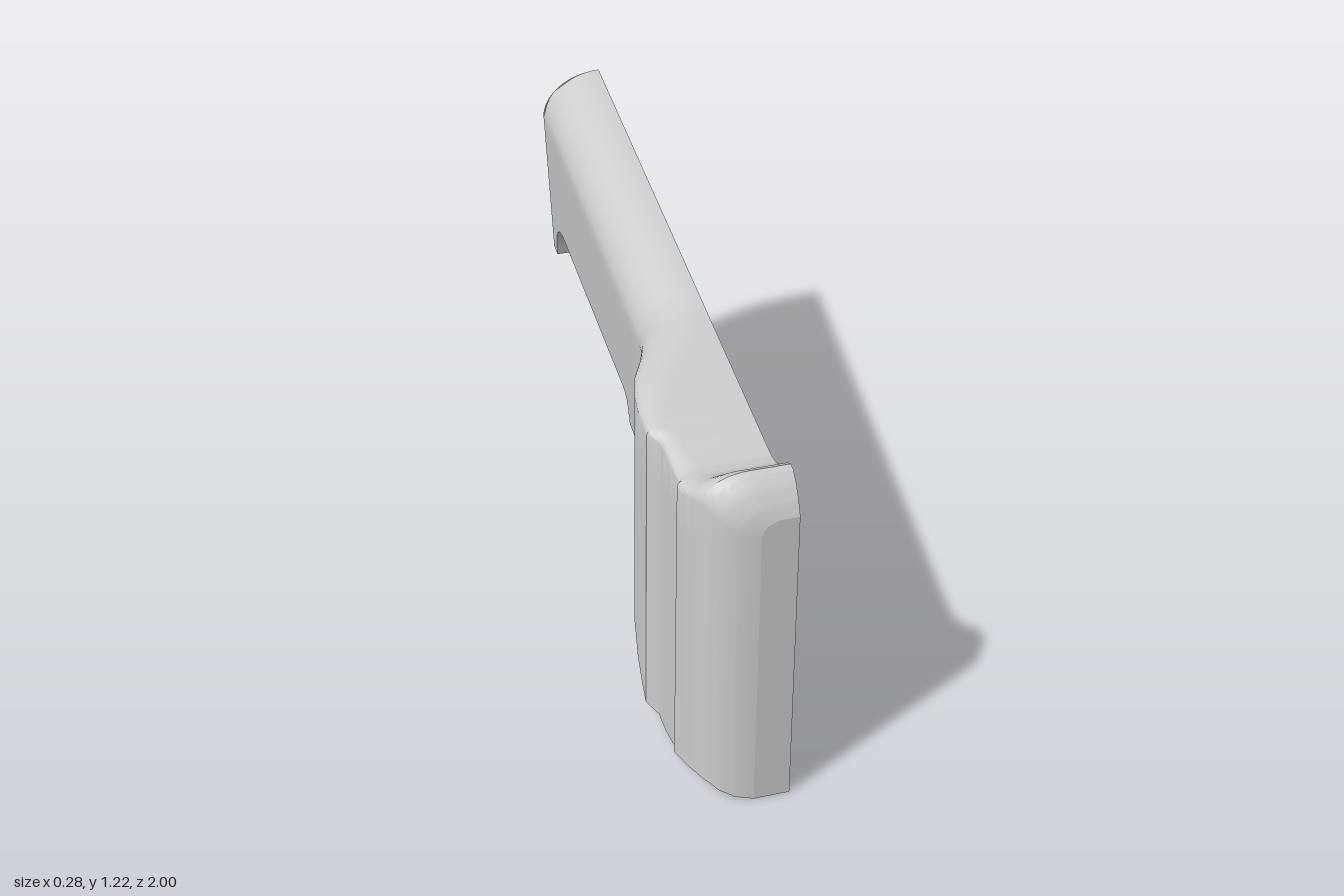
import * as THREE from 'three';
import { toCreasedNormals } from 'three/addons/utils/BufferGeometryUtils.js';

const CUT = 0.14;      // x of the flat split plane
const SLOPE = 0.168;   // rise of the barrel line towards the rear
const CEIL = 0.87, POCKET_X = 0.06, POCKET_Y = 0.645, POCKET_END = -0.08;

// Lower edge, front to rear: [z, y]
const bottom = [[1, 0], [0.985, 0.015], [0.95, 0.042], [0.91, 0.05], [0.85, 0.046], [0.77, 0.03], [0.7, 0.024],
  [0.65, 0.032], [0.6, 0.055], [0.55, 0.09], [0.5, 0.138], [0.45, 0.184], [0.41, 0.213], [0.363, 0.235],
  [0.363, 0.33], [0.355, 0.362], [0.338, 0.385], [0.31, 0.4], [-0.125, 0.475],
  [-0.125, 0.535], [-0.132, 0.558], [-0.145, 0.573], [-0.165, 0.582], [-0.8, 0.692], [-0.84, 0.698], [-0.88, 0.69],
  [-0.915, 0.667], [-0.94, 0.632], [-0.95, 0.6], [-0.96, 0.562], [-1, 0.568]];
// Top edge: [z, y]
const top = [[1, 0.914], [0.985, 0.95], [0.96, 0.99], [0.935, 1.014], [0.915, 1.018], [0.89, 1.005], [0.85, 0.97],
  [0.81, 0.95], [0.77, 0.944], [0.74, 0.948], [-0.89, 1.222], [-1, 1.2405]];
// Side wall: [z, x, corner width, corner height]
const side = [[1, 0.04, 0.06, 0.05], [0.99, -0.01, 0.08, 0.06], [0.97, -0.05, 0.1, 0.07], [0.94, -0.08, 0.12, 0.08],
  [0.9, -0.1, 0.12, 0.08], [0.85, -0.114, 0.09, 0.05], [0.8, -0.122, 0.06, 0.03], [0.785, -0.112, 0.06, 0.03],
  [0.64, -0.117, 0.05, 0.025], [0.6, -0.144, 0.04, 0.025], [0.5, -0.138, 0.08, 0.035], [0.42, -0.125, 0.12, 0.045],
  [0.35, -0.105, 0.15, 0.06], [0.265, -0.065, 0.16, 0.085], [0.18, -0.036, 0.165, 0.12], [0.12, -0.025, 0.165, 0.145],
  [-1, -0.025, 0.165, 0.145]];
// Grip cavity in plan: [z, x]
const cavity = [[0.97, CUT], [0.92, -0.06], [0.85, -0.08], [0.75, -0.09], [0.65, -0.09], [0.55, -0.083],
  [0.45, -0.06], [0.38, -0.025], [0.34, 0.02], [0.32, POCKET_X], [0.305, 0.1], [0.295, CUT]];

// Linear lookup in a table sorted by falling z
function look(table, z, col = 1) {
  for (let i = 1; i < table.length; i++) {
    const a = table[i - 1], b = table[i];
    if (z >= b[0] && a[0] > b[0]) {
      return a[col] + (b[col] - a[col]) * Math.min(1, Math.max(0, (a[0] - z) / (a[0] - b[0])));
    }
  }
  return table[table.length - 1][col];
}

// Stations along the body, following the lower edge
function makeStations() {
  const breaks = [...top, ...side, ...cavity].map((p) => p[0]);
  breaks.push(POCKET_END, POCKET_END - 0.0001, 0.375);
  for (let z = 1; z > -1; z -= 0.02) breaks.push(z);
  breaks.sort((a, b) => b - a);
  const out = [bottom[0]];
  for (let i = 1; i < bottom.length; i++) {
    const a = bottom[i - 1], b = bottom[i];
    for (const z of breaks) {
      if (z < a[0] - 1e-6 && z > b[0] + 1e-6) out.push([z, a[1] + (b[1] - a[1]) * (a[0] - z) / (a[0] - b[0])]);
    }
    out.push(b);
  }
  return out;
}

// Outer skin x at a point of the side elevation
function outerX(z, y) {
  const x = look(side, z, 1), rx = look(side, z, 2), ry = look(side, z, 3);
  const shoulder = look(top, z) - ry;
  if (y > shoulder) {
    const u = Math.min(1, (y - shoulder) / ry);
    return x + rx * (1 - Math.sqrt(1 - u * u));
  }
  const taper = 0.09 * THREE.MathUtils.smoothstep(-z, -0.36, 0);
  return x + taper * (shoulder - y);
}

const endZ = (y) => -0.89 + SLOPE * (y - 1.222);          // slanted rear face
const endY = (z) => (z >= -0.89 ? 9 : 1.222 + (z + 0.89) / SLOPE);
const grooveY = (z) => 0.863 + SLOPE * (0.295 - z);       // groove centre line
const GH = 0.093, GD = CUT - POCKET_X;                    // groove half height, depth
const grooveEnd = (h) => (-0.89 + SLOPE * (grooveY(0) + h - 1.222)) / (1 + SLOPE * SLOPE);

// Surface through rows of [x, y, z] points
function grid(rows) {
  const n = rows[0].length, index = [];
  for (let i = 0; i < rows.length - 1; i++) {
    for (let j = 0; j < n - 1; j++) {
      const a = i * n + j, b = a + n;
      index.push(a, a + 1, b, b, a + 1, b + 1);
    }
  }
  const g = new THREE.BufferGeometry();
  g.setAttribute('position', new THREE.Float32BufferAttribute(rows.flat(2), 3));
  g.setIndex(index);
  return toCreasedNormals(g, 0.5);
}

// Flat piece on the split plane from [z, y] points
function planar(points) {
  const g = new THREE.ShapeGeometry(new THREE.Shape(points.map(([z, y]) => new THREE.Vector2(-z, y))));
  return g.rotateY(Math.PI / 2).translate(CUT, 0, 0);
}

export function createModel() {
  const group = new THREE.Group();
  const material = new THREE.MeshStandardMaterial({ color: 0xcccccc, side: THREE.DoubleSide });
  const add = (name, geometry) => {
    const mesh = new THREE.Mesh(geometry, material);
    mesh.name = name;
    group.add(mesh);
  };
  const stations = makeStations();
  const steps = (n, f) => Array.from({ length: n + 1 }, (_, i) => f(i / n));

  // Outer skin: flat top, rounded shoulder, side wall
  const section = ([z, yb]) => {
    const yt = look(top, z), ry = look(side, z, 3), clip = endY(z);
    const pts = [[clip < yt ? outerX(z, Math.max(yb, clip)) : CUT, Math.max(yb, Math.min(yt, clip)), z]];
    const put = (y) => {
      const c = Math.max(yb, Math.min(y, clip));
      pts.push([outerX(z, c), c, z]);
    };
    steps(14, (t) => put(yt - ry + ry * Math.cos(t * Math.PI / 2)));
    steps(8, (t) => put(yt - ry + (yb - yt + ry) * t));
    return pts;
  };
  add('outerShell', grid(stations.map(section)));

  // Front face
  add('frontFace', grid(section(stations[0]).map(([x, y, z]) => [[x, y, z], [CUT, y, z]])));

  // Slanted rear face with the groove opening
  const gMid = grooveY(grooveEnd(0));
  const endHalf = GH / (1 + SLOPE * SLOPE);
  add('rearFace', grid(steps(120, (t) => {
    const y = 1.222 + (0.568 - 1.222) * t, z = endZ(y), u = (y - gMid) / endHalf;
    const inner = Math.abs(u) < 1 ? CUT - GD * Math.sqrt(1 - u * u) : CUT;
    return [[outerX(z, y), y, z], [inner, y, z]];
  })));

  // Lower rim between skin and cavities
  const innerX = (z) => {
    if (z > 0.97 || z < POCKET_END) return CUT;
    return z >= 0.32 ? look(cavity, z) : POCKET_X;
  };
  add('lowerRim', grid(stations.map(([z, y]) => [[outerX(z, y), y, z], [innerX(z), y, z]])));

  // Split faces above and below the groove
  const hiEnd = grooveEnd(GH), loEnd = grooveEnd(-GH);
  add('upperSplitFace', planar([
    ...top.filter((p) => p[0] >= -0.89), [hiEnd, grooveY(hiEnd) + GH],
    [0.389, grooveY(0.389) + GH], [0.375, CEIL], [0.97, CEIL], [0.97, look(bottom, 0.97)], [1, 0]]));
  add('lowerSplitFace', planar([
    [0.295, grooveY(0.295) - GH], [loEnd, grooveY(loEnd) - GH],
    ...bottom.filter((p) => p[0] <= -0.125).reverse(),
    [POCKET_END, look(bottom, POCKET_END)], [POCKET_END, POCKET_Y], [0.295, POCKET_Y]]));

  // Grip cavity wall and ceiling
  const inGrip = stations.filter(([z]) => z <= 0.97 && z >= 0.32);
  add('gripCavityWall', grid(inGrip.map(([z, y]) => [[innerX(z), y, z], [innerX(z), CEIL, z]])));
  add('gripCavityCeiling', grid(inGrip.map(([z]) =>
    [[innerX(z), CEIL, z], [z >= 0.374 ? CUT : POCKET_X, CEIL, z]])));
  const rearZ = (x) => 0.32 - 0.025 * Math.pow((x - POCKET_X) / GD, 0.8);
  add('gripCavityRearWall', grid(steps(16, (t) => {
    const x = POCKET_X + GD * t, z = rearZ(x);
    return [[x, POCKET_Y, z], [x, grooveY(z) - GH * Math.sqrt(1 - (1 - t) ** 2), z]];
  })));

  // Barrel groove and its front end
  const groove = steps(32, (t) => {
    const a = (t - 0.5) * Math.PI, x = CUT - GD * Math.cos(a), h = GH * Math.sin(a);
    const z0 = a >= 0 ? 0.375 + 0.014 * Math.sin(a) : rearZ(Math.min(x, CUT)), z1 = grooveEnd(h);
    return [[x, grooveY(z0) + h, z0], [x, grooveY(z1) + h, z1]];
  });
  add('barrelGroove', grid(groove));
  add('barrelGrooveFront', grid(groove.slice(16).map(([p]) => [p, [CUT, p[1], p[2]]])));

  // Pocket behind the grip: floor, ceiling, end wall
  const inPocket = stations.filter(([z]) => z <= 0.32 && z >= POCKET_END);
  add('pocketFloor', grid(inPocket.map(([z, y]) => [[POCKET_X, y, z], [POCKET_X, POCKET_Y, z]])));
  add('pocketCeiling', grid(steps(8, (t) => {
    const x = POCKET_X + GD * t;
    return [[x, POCKET_Y, rearZ(x)], [x, POCKET_Y, POCKET_END]];
  })));
  const yEnd = look(bottom, POCKET_END);
  add('pocketEndWall', grid([
    [[POCKET_X, yEnd, POCKET_END], [CUT, yEnd, POCKET_END]],
    [[POCKET_X, POCKET_Y, POCKET_END], [CUT, POCKET_Y, POCKET_END]]]));
  return group;
}
